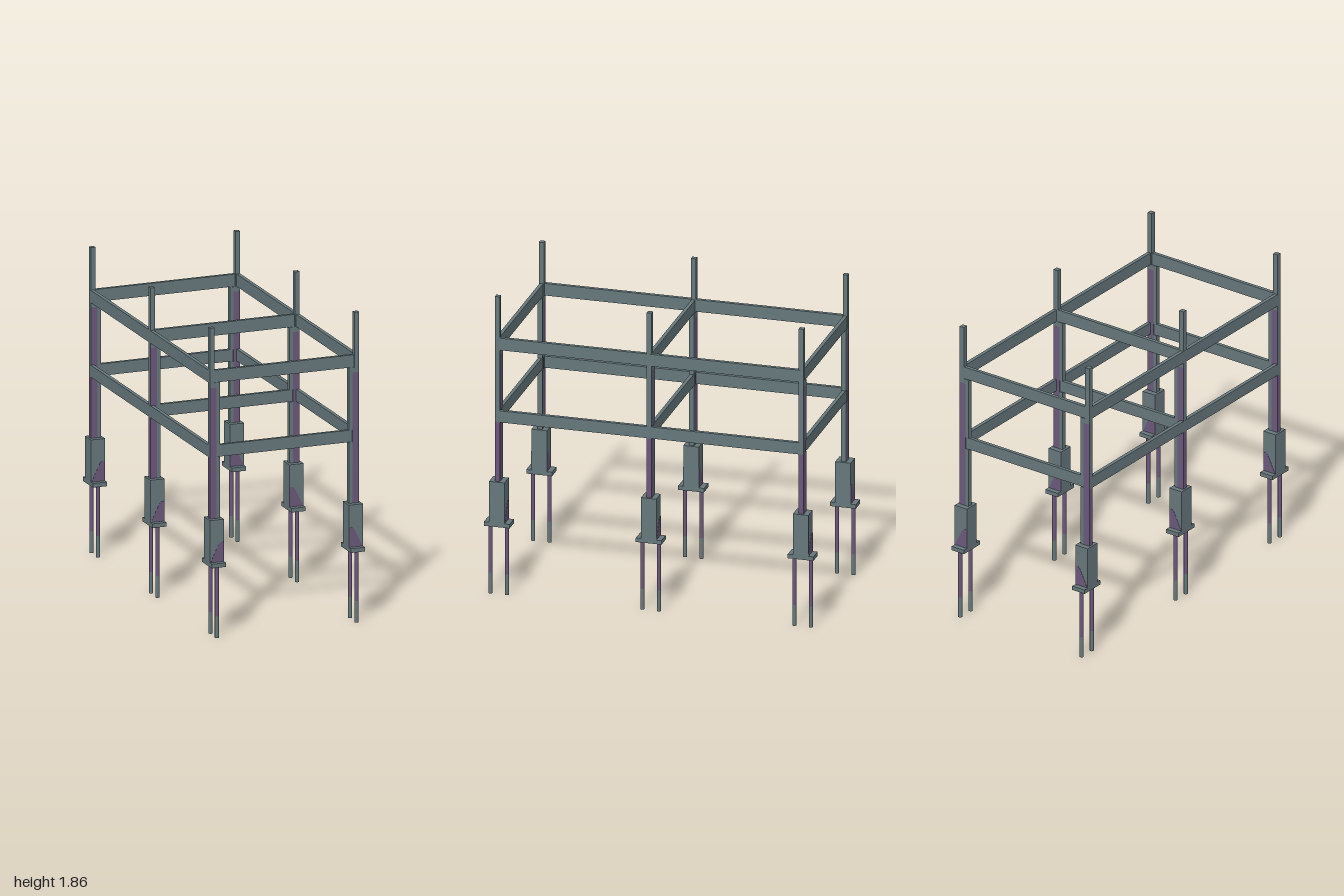
import * as THREE from 'three';

export function createModel() {
  const model = new THREE.Group();
  const steel = new THREE.MeshStandardMaterial({ color: 0x66777b });
  steel.name = 'greySteel';
  const stain = new THREE.MeshStandardMaterial({ color: 0x6a587a });
  stain.name = 'purpleStain';

  // Box given by its lower and upper limits on each axis
  function box(parent, name, [x0, x1], [y0, y1], [z0, z1], material) {
    const mesh = new THREE.Mesh(new THREE.BoxGeometry(x1 - x0, y1 - y0, z1 - z0), material);
    mesh.position.set((x0 + x1) / 2, (y0 + y1) / 2, (z0 + z1) / 2);
    mesh.name = name;
    parent.add(mesh);
    return mesh;
  }
  // Range on the x axis, mirrored for the other side
  const span = (side, a, b) => (side > 0 ? [a, b] : [-b, -a]);
  // Grey sides with stained front and back
  const stainedFaces = [steel, steel, steel, steel, stain, stain];

  const rows = [-0.92, 0, 0.92];
  const beams = [[1.08, 1.152], [1.53, 1.605]];

  // Rounded patch on the foot, rising towards the inside of the frame
  const patch = new THREE.Shape();
  patch.moveTo(-0.04, 0);
  patch.quadraticCurveTo(-0.02, 0.045, 0.008, 0.1);
  patch.quadraticCurveTo(0.022, 0.128, 0.044, 0.115);
  patch.lineTo(0.044, 0);
  patch.closePath();
  const patchGeometry = new THREE.ExtrudeGeometry(patch, { depth: 0.002, bevelEnabled: false, curveSegments: 6 });
  const pinLower = new THREE.CylinderGeometry(0.0122, 0.0122, 0.13, 12);
  const pinUpper = new THREE.CylinderGeometry(0.0122, 0.0122, 0.3, 12);

  function createLeg(side, z) {
    const leg = new THREE.Group();
    leg.name = 'leg';
    const depth = [z - 0.015, z + 0.015];
    const outer = span(side, 0.426, 0.468);
    const inner = span(side, 0.405, 0.426);

    // Post: stained base, part-stained middle, thin top
    box(leg, 'lowerPost', outer, [0.71, 1.08], depth, stain);
    box(leg, 'middlePost', outer, [1.08, 1.5], depth, stainedFaces);
    box(leg, 'upperPost', outer, [1.5, 1.53], depth, steel);
    box(leg, 'postTop', span(side, 0.438, 0.468), [1.53, 1.862], depth, steel);
    // Inner strips that carry the cross beams
    box(leg, 'lowerStrip', inner, [0.71, 1.08], depth, steel);
    box(leg, 'upperStrip', inner, [1.152, 1.53], depth, steel);

    // Foot block on its base plate
    const footX = span(side, 0.391, 0.48);
    box(leg, 'foot', footX, [0.455, 0.71], [z - 0.047, z + 0.047], steel);
    box(leg, 'basePlate', footX, [0.43, 0.455], [z - 0.078, z + 0.078], steel);
    for (const face of [-1, 1]) {
      const mark = new THREE.Mesh(patchGeometry, stain);
      mark.name = 'footStain';
      // Turn the patch so that its high end stays on the inside
      const turned = side < 0 ? 0 : Math.PI;
      mark.rotation.y = turned;
      const centre = z + face * 0.0475;
      mark.position.set(side * 0.4355, 0.457, centre + (turned ? 0.001 : -0.001));
      leg.add(mark);

      // Two anchor pins under the plate
      for (const [name, geometry, y, material] of [
        ['pinTip', pinLower, 0.065, steel],
        ['pin', pinUpper, 0.28, stain],
      ]) {
        const pin = new THREE.Mesh(geometry, material);
        pin.name = name;
        pin.position.set(side * 0.438, y, z + face * 0.05);
        leg.add(pin);
      }
    }
    model.add(leg);
  }

  for (const z of rows) {
    for (const side of [-1, 1]) createLeg(side, z);
    // Beams across the frame
    for (const height of beams) {
      box(model, 'crossBeam', [-0.438, 0.438], height, [z - 0.011, z + 0.011], steel);
    }
  }

  // Long rails along both sides
  for (const side of [-1, 1]) {
    for (const height of beams) {
      box(model, 'sideRail', span(side, 0.446, 0.4685), height, [-0.915, 0.915], steel);
    }
  }
  return model;
}
